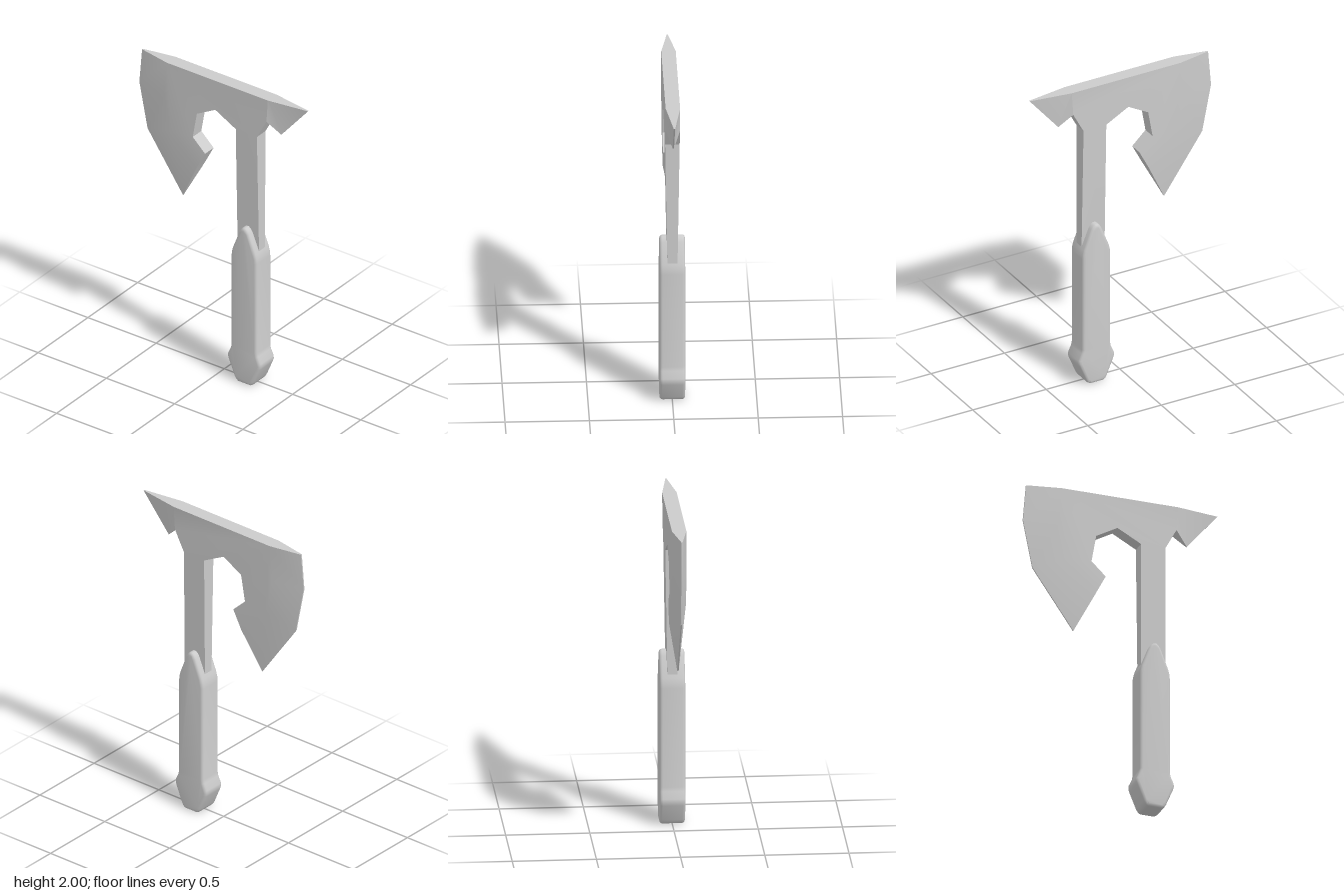
import * as THREE from 'three';
import { toCreasedNormals } from 'three/addons/utils/BufferGeometryUtils.js';

const material = new THREE.MeshStandardMaterial({ color: 0xcccccc });
const T = 0.043; // half thickness of the steel
const E = 0.004; // half thickness of a ground edge

// Steel plate outline, counter-clockwise seen from the front: x, y, half thickness
const outline = [
  [-0.6, 2, E], [-0.62, 1.77, E], [-0.56, 1.47, E], [-0.3, 1.1, E],         // 0-3 cutting edge
  [-0.17, 1.355, T], [-0.11, 1.47, T], [-0.2, 1.555, T], [-0.17, 1.725, T], // 4-7 hook
  [-0.035, 1.8, T], [0.115, 1.72, T],                                       // 8-9
  [0.12, 0.8, 0.028], [0.277, 0.8, 0.028],                                  // 10-11 shaft end
  [0.27, 1.72, T], [0.34, 1.85, T],                                         // 12-13
  [0.42, 1.77, E], [0.615, 2, E],                                           // 14-15 spike edge
  [0.35, 2, T], [-0.39, 2, T],                                              // 16-17 top
];
// Inner points of the blade's bevel ridge
const points = [...outline, [-0.41, 1.77, T], [-0.36, 1.54, T]];

// Front panels as loops of point numbers
const panels = [
  [17, 0, 1, 18], [18, 1, 2, 19], [19, 2, 3, 4],        // blade bevel
  [17, 18, 19, 4, 5, 6, 7, 8, 9, 12, 13, 16],           // body
  [9, 10, 11, 12],                                      // shaft
  [16, 13, 14, 15],                                     // spike bevel
];

function plateGeometry() {
  const pos = [];
  const add = (i, side) => pos.push(points[i][0], points[i][1], side * points[i][2]);
  for (const loop of panels) {
    const flat = loop.map((i) => new THREE.Vector2(points[i][0], points[i][1]));
    for (const tri of THREE.ShapeUtils.triangulateShape(flat, [])) {
      const [a, b, c] = tri.map((k) => loop[k]);
      [a, b, c].forEach((i) => add(i, 1));
      [a, c, b].forEach((i) => add(i, -1));
    }
  }
  // Walls round the outline
  outline.forEach((_, i) => {
    const j = (i + 1) % outline.length;
    add(i, 1); add(i, -1); add(j, -1);
    add(i, 1); add(j, -1); add(j, 1);
  });
  const geometry = new THREE.BufferGeometry();
  geometry.setAttribute('position', new THREE.Float32BufferAttribute(pos, 3));
  return toCreasedNormals(geometry, 0.4);
}

// Handle: symmetric profile with rounded edges
function handleGeometry() {
  const half = [
    [0.045, 0.005], [0.06, 0.015], [0.072, 0.035], [0.114, 0.135], [0.121, 0.155], [0.12, 0.177],
    [0.1, 0.22], [0.095, 0.245], [0.095, 0.86], [0.092, 0.89], [0.084, 0.92],
    [0.035, 1.045], [0.022, 1.066], [0.008, 1.076],
  ];
  const right = half.map(([x, y]) => new THREE.Vector2(x, y));
  const left = half.map(([x, y]) => new THREE.Vector2(-x, y)).reverse();
  const bevel = 0.018;
  const geometry = new THREE.ExtrudeGeometry(new THREE.Shape([...right, ...left]), {
    depth: 0.152 - 2 * bevel, bevelThickness: bevel, bevelSize: bevel, bevelOffset: -bevel, bevelSegments: 3,
  });
  geometry.translate(0.195, 0, bevel - 0.076);
  return toCreasedNormals(geometry, 0.7);
}

export function createModel() {
  const group = new THREE.Group();
  group.name = 'axe';
  const parts = { headAndShaft: plateGeometry(), handle: handleGeometry() };
  for (const [name, geometry] of Object.entries(parts)) {
    const mesh = new THREE.Mesh(geometry, material);
    mesh.name = name;
    group.add(mesh);
  }
  return group;
}
